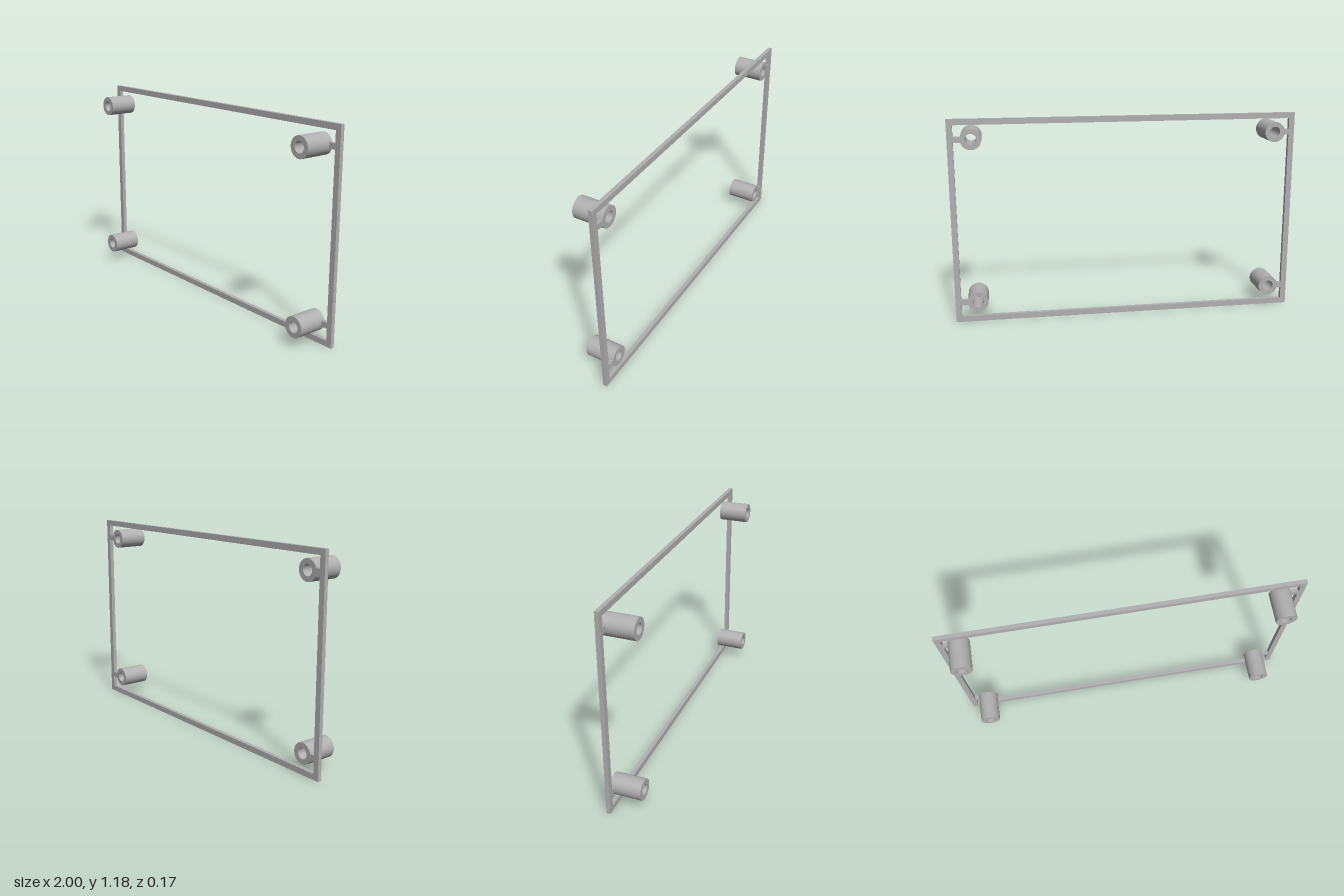
import * as THREE from 'three';
import { mergeGeometries } from 'three/addons/utils/BufferGeometryUtils.js';

const W = 2, H = 1.18, BAR = 0.033;
const BACK = -0.086, FRONT = 0.086, THICK = 0.023;
const R_OUT = 0.059, R_IN = 0.031;

// Hollow tube along z: smooth walls, crisp rims
function tubeGeometry() {
  const h = (FRONT - BACK) / 2;
  const ring = [[R_OUT, -h], [R_OUT, h], [R_IN, h], [R_IN, -h]].map(p => new THREE.Vector2(...p));
  const sides = ring.map((p, i) => new THREE.LatheGeometry([p, ring[(i + 1) % 4]], 48));
  return mergeGeometries(sides).rotateX(Math.PI / 2);
}

function rectangle(target, x0, y0, x1, y1) {
  target.moveTo(x0, y0);
  target.lineTo(x1, y0);
  target.lineTo(x1, y1);
  target.lineTo(x0, y1);
  target.closePath();
  return target;
}

export function createModel() {
  const group = new THREE.Group();
  const grey = new THREE.MeshStandardMaterial({ color: 0xb0b0b0 });
  grey.name = 'grey';

  const add = (name, geometry, x, y, z) => {
    const mesh = new THREE.Mesh(geometry, grey);
    mesh.name = name;
    mesh.position.set(x, y, z);
    group.add(mesh);
  };

  // Thin rectangular frame
  const outline = rectangle(new THREE.Shape(), -W / 2, 0, W / 2, H);
  outline.holes.push(rectangle(new THREE.Path(), -W / 2 + BAR, BAR, W / 2 - BAR, H - BAR));
  add('frame', new THREE.ExtrudeGeometry(outline, { depth: THICK, bevelEnabled: false }), 0, 0, BACK);

  // Hollow standoffs, each tied to the frame by a small tab
  const tube = tubeGeometry();
  for (const [side, x] of [['right', -0.885], ['left', 0.87]]) {
    for (const [level, y] of [['Lower', 0.117], ['Upper', 1.066]]) {
      add(`${side}${level}Standoff`, tube, x, y, 0);
      const s = Math.sign(x);
      const inner = x + s * 0.045, outer = s * (W / 2 - BAR);
      const tab = new THREE.BoxGeometry(Math.abs(outer - inner), 0.032, THICK);
      add(`${side}${level}Tab`, tab, (inner + outer) / 2, y, BACK + THICK / 2);
    }
  }
  return group;
}
